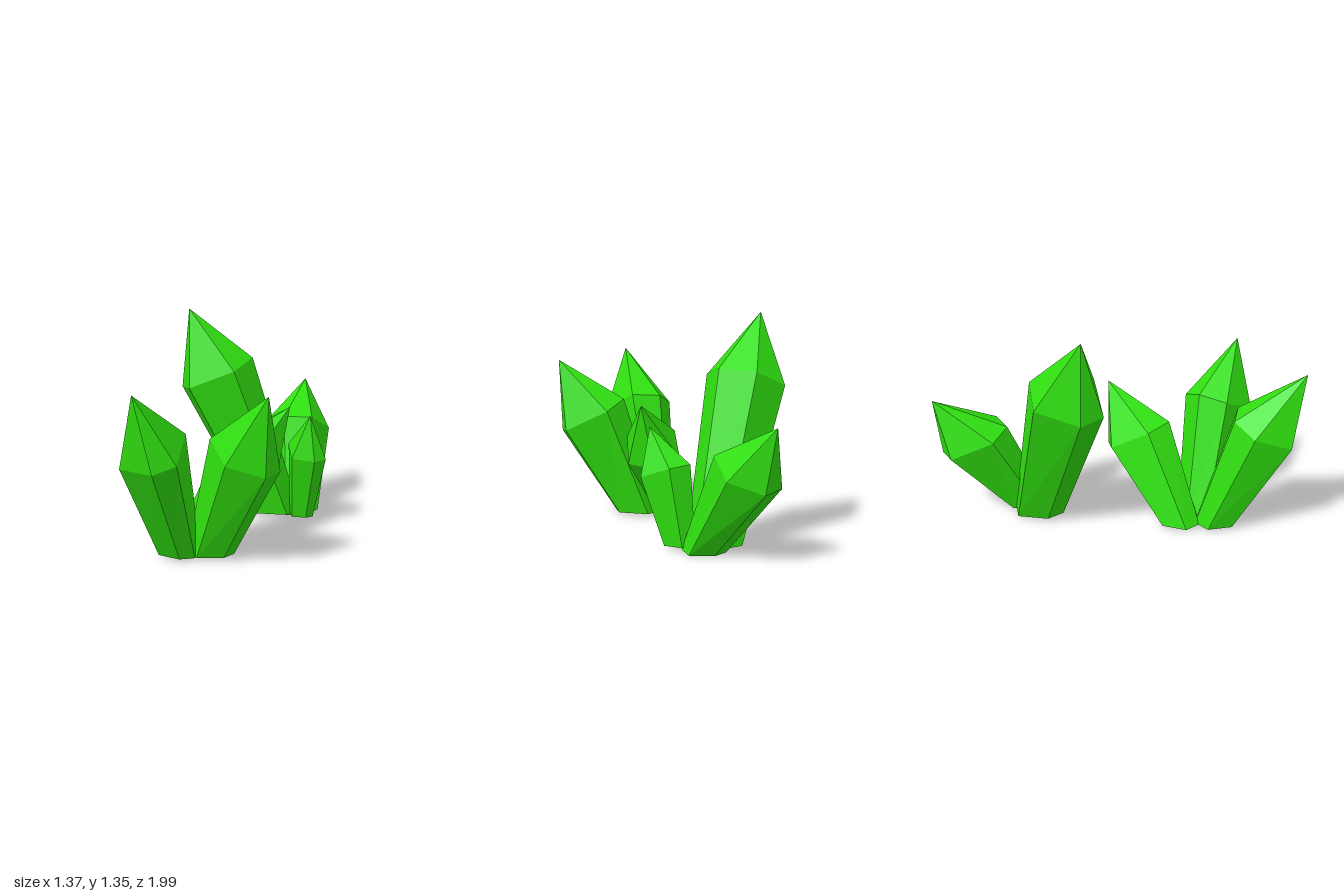
import * as THREE from 'three';

// One leaning crystal: a flat hexagonal foot, a wider tilted shoulder ring, and a point.
// The foot is the shoulder outline, shrunk by `taper` and moved to `foot` ([x, y, z]).
function crystalGeometry({ tip, ring, foot, taper }) {
  const n = ring.length;
  const shoulder = ring.map((p) => new THREE.Vector3(...p));
  const centre = shoulder.reduce((sum, p) => sum.add(p), new THREE.Vector3()).divideScalar(n);
  const footCentre = new THREE.Vector3(...foot);
  const base = shoulder.map((p) => {
    const q = p.clone().sub(centre).multiplyScalar(taper).add(footCentre);
    q.y = footCentre.y;
    return q;
  });
  const apex = new THREE.Vector3(...tip);

  const points = [];
  for (let i = 0; i < n; i++) {
    const j = (i + 1) % n;
    points.push(shoulder[i], shoulder[j], apex); // point facet
    points.push(base[i], base[j], shoulder[j], base[i], shoulder[j], shoulder[i]); // side facet
    points.push(footCentre, base[j], base[i]); // underside
  }
  const geometry = new THREE.BufferGeometry().setFromPoints(points);
  geometry.computeVertexNormals();
  return geometry;
}

// Shoulder rings run counter-clockwise seen from above.
const crystals = {
  frontRightCrystal: {
    tip: [-0.614, 1.034, 0.985],
    ring: [[-0.69, 0.595, 0.85], [-0.51, 0.59, 0.992], [-0.373, 0.632, 0.96],
      [-0.318, 0.758, 0.69], [-0.466, 0.745, 0.574], [-0.635, 0.68, 0.62]],
    foot: [-0.352, 0.015, 0.535], taper: 0.66,
  },
  frontLeftCrystal: {
    tip: [0.131, 1.012, 0.942],
    ring: [[-0.182, 0.728, 0.69], [-0.108, 0.618, 0.918], [0.116, 0.551, 0.93],
      [0.208, 0.566, 0.82], [0.11, 0.7, 0.558], [-0.063, 0.765, 0.558]],
    foot: [-0.175, 0.015, 0.53], taper: 0.7,
  },
  middleCrystal: {
    tip: [0.329, 0.797, 0.11],
    ring: [[0.238, 0.41, 0.283], [0.25, 0.4, 0.072], [0.074, 0.452, 0.008],
      [-0.1, 0.59, 0.177], [-0.058, 0.62, 0.347], [0.09, 0.554, 0.41]],
    foot: [-0.268, 0.015, 0.33], taper: 0.64,
  },
  tallCrystal: {
    tip: [-0.272, 1.35, -0.355],
    ring: [[-0.318, 0.846, -0.384], [-0.278, 0.86, -0.214], [0, 0.976, -0.143],
      [0.13, 1.037, -0.325], [0.058, 1.02, -0.545], [-0.153, 0.925, -0.609]],
    foot: [0.285, 0.015, -0.405], taper: 0.7,
  },
  backCrystal: {
    tip: [0.545, 0.786, -1.0],
    ring: [[0.26, 0.555, -0.717], [0.36, 0.6, -0.58], [0.545, 0.595, -0.58],
      [0.683, 0.482, -0.76], [0.57, 0.41, -0.94], [0.407, 0.425, -0.944]],
    foot: [0.425, 0, -0.42], taper: 0.69,
  },
  smallCrystal: {
    tip: [0.475, 0.703, -0.07],
    ring: [[0.362, 0.425, -0.082], [0.5, 0.415, -0.033], [0.577, 0.42, -0.08],
      [0.553, 0.485, -0.27], [0.434, 0.5, -0.335], [0.358, 0.49, -0.25]],
    foot: [0.442, 0.015, -0.262], taper: 0.63,
  },
};

export function createModel() {
  const group = new THREE.Group();
  group.name = 'crystalCluster';
  const green = new THREE.MeshStandardMaterial({ color: 0x30e010 });
  green.name = 'crystalGreen';
  green.flatShading = true;
  for (const [name, spec] of Object.entries(crystals)) {
    const mesh = new THREE.Mesh(crystalGeometry(spec), green);
    mesh.name = name;
    group.add(mesh);
  }
  return group;
}
